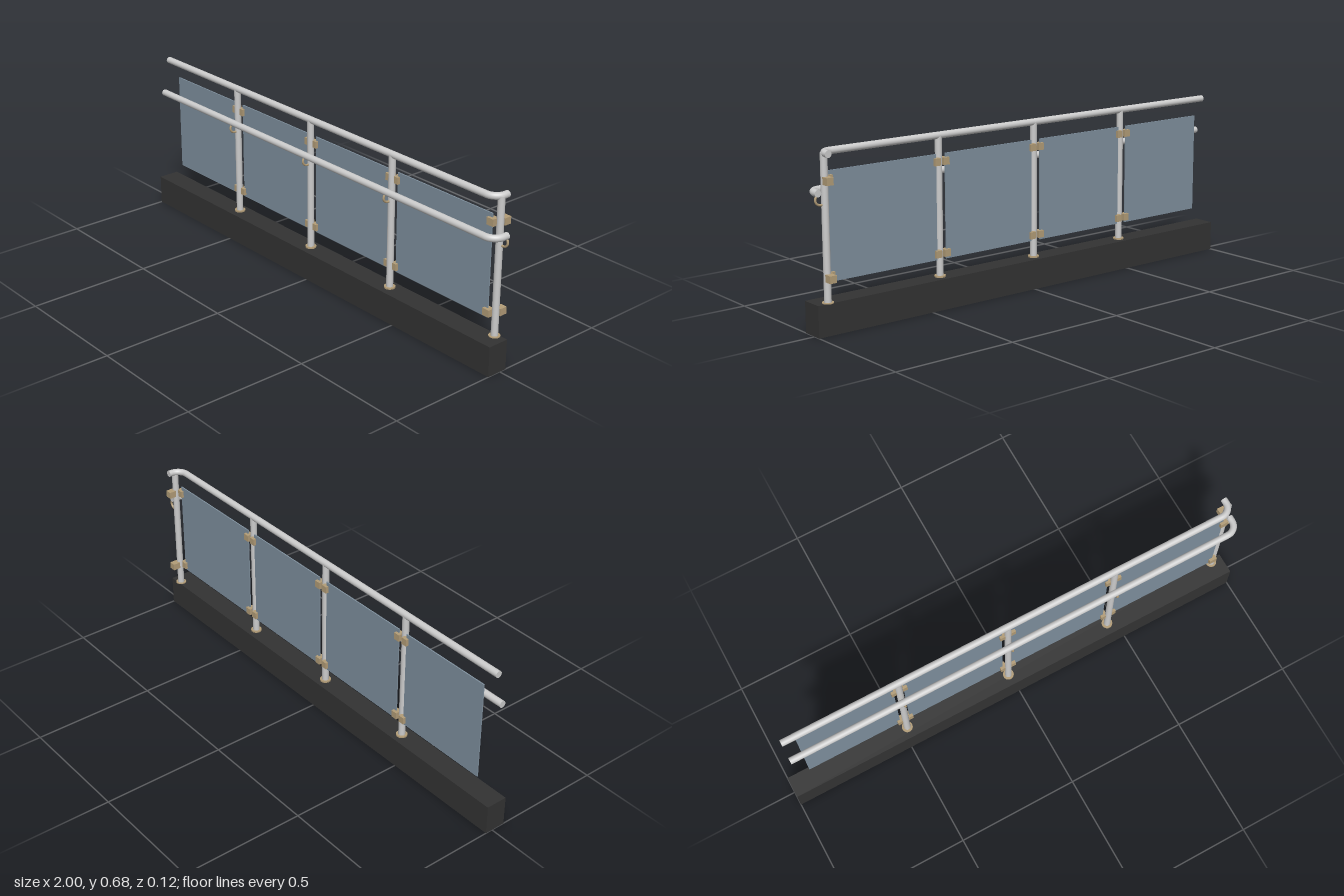
import * as THREE from 'three';

const material = (color) => new THREE.MeshStandardMaterial({ color });

export function createModel() {
  const model = new THREE.Group();
  const steel = material(0xcccccc);
  const dark = material(0x333333);
  const brass = material(0xb39d78);
  const glass = material(0x7f909e);
  const R = 0.0135; // pipe radius

  const add = (parent, name, geometry, mat, x = 0, y = 0, z = 0) => {
    const mesh = new THREE.Mesh(geometry, mat);
    mesh.name = name;
    mesh.position.set(x, y, z);
    parent.add(mesh);
    return mesh;
  };
  const box = (parent, name, mat, x0, x1, y0, y1, z0, z1) =>
    add(parent, name, new THREE.BoxGeometry(x1 - x0, y1 - y0, z1 - z0), mat,
      (x0 + x1) / 2, (y0 + y1) / 2, (z0 + z1) / 2);

  // Plinth
  box(model, 'base', dark, -1, 1, 0, 0.12, -0.03, 0.058);

  // Pipe rail running along x, bent towards the back at its left end
  const rail = (name, y, z, xEnd, zEnd) => {
    const group = new THREE.Group();
    group.name = name;
    const bend = 0.045, xStart = -0.963;
    const v = (x, zz) => new THREE.Vector3(x, y, zz);
    const k = bend * 0.4477;
    const straight = xEnd - bend - xStart;
    const pipe = add(group, 'railPipe', new THREE.CylinderGeometry(R, R, straight, 24), steel,
      xStart + straight / 2, y, z);
    pipe.rotation.z = Math.PI / 2;
    const curve = new THREE.CubicBezierCurve3(
      v(xEnd - bend, z), v(xEnd - k, z), v(xEnd, z - k), v(xEnd, z - bend));
    add(group, 'railBend', new THREE.TubeGeometry(curve, 16, R, 24), steel);
    const length = z - bend - zEnd;
    const end = add(group, 'railEnd', new THREE.CylinderGeometry(R, R, length, 24), steel,
      xEnd, y, zEnd + length / 2);
    end.rotation.x = Math.PI / 2;
    model.add(group);
  };
  rail('topRail', 0.662, 0.0115, 0.951, -0.047);
  rail('handrail', 0.522, 0.042, 0.981, -0.021);

  // Curved bracket under the handrail, reaching out along +z from its post
  const bracketCurve = new THREE.CatmullRomCurve3(
    [[0.008, 0.479], [0.022, 0.479], [0.033, 0.484], [0.0395, 0.496], [0.037, 0.508], [0.029, 0.517]]
      .map(([z, y]) => new THREE.Vector3(0, y, z)));
  const bracketGeometry = new THREE.TubeGeometry(bracketCurve, 28, 0.0045, 12);

  // Post with floor flange and bracket
  const post = (name, x, z, flangeTop, turn) => {
    const group = new THREE.Group();
    group.name = name;
    group.position.set(x, 0, z);
    group.rotation.y = turn;
    add(group, 'postPipe', new THREE.CylinderGeometry(R, R, 0.545, 24), steel, 0, 0.3915, 0);
    add(group, 'flange', new THREE.CylinderGeometry(0.022, 0.022, flangeTop - 0.12, 24), brass,
      0, (flangeTop + 0.12) / 2, 0);
    add(group, 'handrailBracket', bracketGeometry, brass);
    model.add(group);
  };
  const postX = [-0.487, -0.026, 0.435];
  postX.forEach((x) => post('post', x, 0.0115, 0.126, 0));
  post('cornerPost', 0.951, -0.0165, 0.123, Math.PI / 2);

  // Glass panels, one per bay
  const edges = [-0.909 - 0.021, ...postX, 0.951];
  for (let i = 0; i < 4; i++) {
    box(model, 'glassPanel', glass, edges[i] + 0.021, edges[i + 1] - 0.021, 0.19, 0.595, -0.0025, 0.0025);
  }

  // Glass clamps at two heights
  for (const [y0, zBack] of [[0.2, -0.058], [0.552, -0.055]]) {
    const y1 = y0 + 0.028;
    for (const x of postX) {
      for (const side of [-1, 1]) {
        const c = x + side * 0.02;
        box(model, 'glassClamp', brass, c - 0.013, c + 0.013, y0, y1, -0.014, 0.014);
      }
    }
    box(model, 'cornerClamp', brass, 0.914, 0.946, y0, y1, -0.014, 0.014);
    box(model, 'returnClamp', brass, 0.937, 0.965, y0, y1, zBack, -0.026);
  }
  return model;
}
